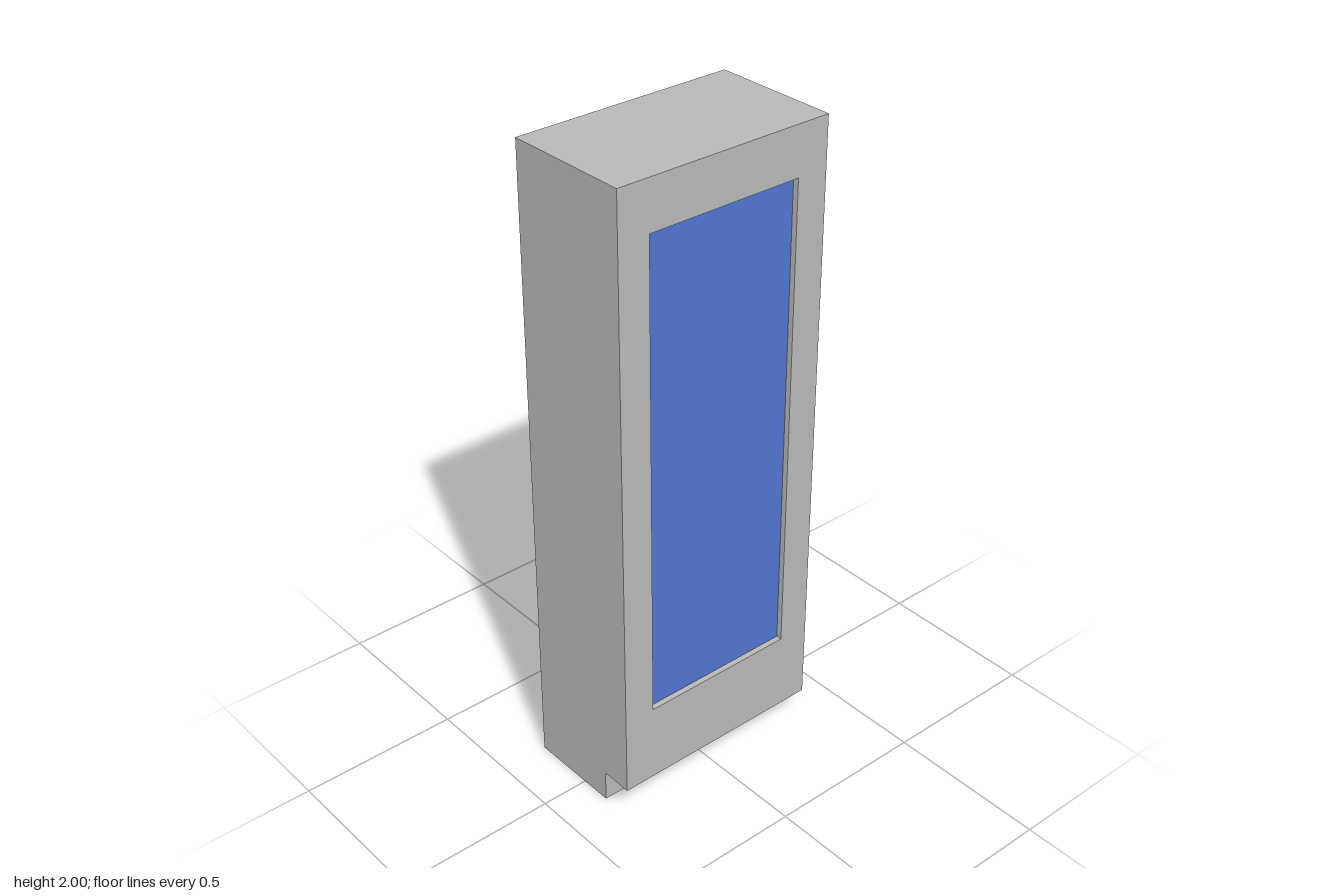
import * as THREE from 'three';

const HEIGHT = 2, HALF_X = 0.2, HALF_Z = 0.35;
const NOTCH = 0.1;    // toe recess height and depth
const RECESS = 0.02;  // how far the panel sits behind the frame

// Rectangle corners, counter-clockwise
const rect = (x0, y0, x1, y1) => [[x0, y0], [x1, y0], [x1, y1], [x0, y1]]
  .map(([x, y]) => new THREE.Vector2(x, y));

function addMesh(group, name, geometry, material) {
  const mesh = new THREE.Mesh(geometry, material);
  mesh.name = name;
  group.add(mesh);
  return mesh;
}

export function createModel() {
  const group = new THREE.Group();
  group.name = 'cabinet';
  const grey = new THREE.MeshStandardMaterial({ name: 'casing grey', color: 0xb8b8b8 });
  const blue = new THREE.MeshStandardMaterial({ name: 'panel blue', color: 0x4f75d0 });

  // Casing: side profile with the toe notch, run across the full width
  const inner = HALF_X - RECESS, toe = HALF_X - NOTCH;
  const profile = new THREE.Shape([
    [-HALF_X, 0], [toe, 0], [toe, NOTCH], [inner, NOTCH], [inner, HEIGHT], [-HALF_X, HEIGHT],
  ].map(([x, y]) => new THREE.Vector2(x, y)));
  const casing = new THREE.ExtrudeGeometry(profile, { depth: HALF_Z * 2, bevelEnabled: false });
  casing.translate(0, 0, -HALF_Z);
  addMesh(group, 'casing', casing, grey);

  // Frame on the +x side, with the opening for the panel
  const frameShape = new THREE.Shape(rect(-HALF_Z, NOTCH, HALF_Z, HEIGHT));
  frameShape.holes.push(new THREE.Path(rect(-0.25, 0.35, 0.25, 1.85).reverse()));
  const frame = new THREE.ExtrudeGeometry(frameShape, { depth: RECESS, bevelEnabled: false });
  frame.rotateY(Math.PI / 2).translate(inner, 0, 0);
  addMesh(group, 'panelFrame', frame, grey);

  // Recessed panel, a thin plate at the back of the opening
  const panel = addMesh(group, 'recessedPanel', new THREE.BoxGeometry(0.004, 1.5, 0.5), blue);
  panel.position.set(inner, 1.1, 0);

  return group;
}
